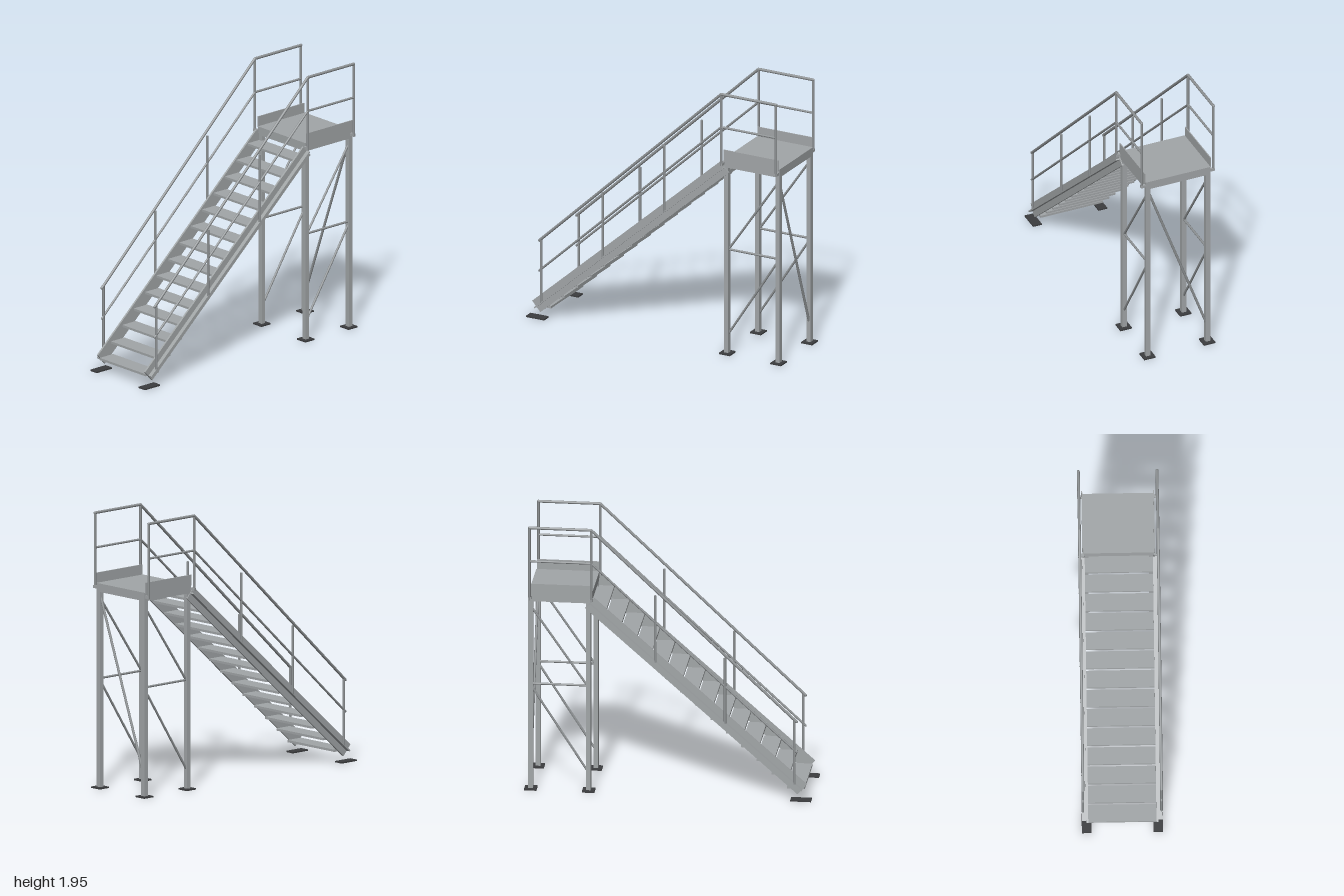
import * as THREE from 'three';

const steel = new THREE.MeshStandardMaterial({ color: 0xa2a6a8 });
steel.name = 'galvanised steel';
const tubeSteel = new THREE.MeshStandardMaterial({ color: 0x8e9294 });
tubeSteel.name = 'tube steel';
const darkSteel = new THREE.MeshStandardMaterial({ color: 0x3c3d3f });
darkSteel.name = 'dark footing';

export function createModel() {
  const model = new THREE.Group();
  model.name = 'accessStair';

  const add = (name, geometry, material) => {
    const mesh = new THREE.Mesh(geometry, material);
    mesh.name = name;
    model.add(mesh);
    return mesh;
  };

  // Box given by its min and max on each axis
  const box = (name, x0, x1, y0, y1, z0, z1, material = steel) => {
    const mesh = add(name, new THREE.BoxGeometry(x1 - x0, y1 - y0, z1 - z0), material);
    mesh.position.set((x0 + x1) / 2, (y0 + y1) / 2, (z0 + z1) / 2);
    return mesh;
  };

  // Round bar between two points
  const bar = (name, a, b, radius, material = tubeSteel) => {
    const from = new THREE.Vector3(...a), to = new THREE.Vector3(...b);
    const dir = to.clone().sub(from);
    const mesh = add(name, new THREE.CylinderGeometry(radius, radius, dir.length(), 12), material);
    mesh.position.copy(from).add(to).multiplyScalar(0.5);
    mesh.quaternion.setFromUnitVectors(new THREE.Vector3(0, 1, 0), dir.normalize());
    return mesh;
  };
  const joint = (name, x, y, z, radius) => {
    add(name, new THREE.SphereGeometry(radius, 12, 8), tubeSteel).position.set(x, y, z);
  };

  // Stair centre line
  const low = new THREE.Vector2(-0.936, 0.08), high = new THREE.Vector2(0.543, 1.389);
  const run = high.clone().sub(low);
  const stairY = (x) => low.y + (x - low.x) * run.y / run.x;

  // Treads
  for (let i = 0; i < 14; i++) {
    const x = -0.953 + i * 0.1062, y = 0.08 + i * 0.0963;
    box('tread', x, x + 0.125, y, y + 0.016, -0.237, 0.237);
  }

  // Landing deck with a perimeter frame
  box('landingDeck', 0.533, 0.972, 1.434, 1.446, -0.245, 0.245);
  box('landingEndBeam', 0.533, 0.545, 1.386, 1.434, -0.245, 0.245);
  box('landingEndBeam', 0.96, 0.972, 1.386, 1.434, -0.245, 0.245);

  const legXs = [0.553, 0.956], legZ = 0.226, railZ = 0.272;

  for (const s of [-1, 1]) {
    const sideBox = (name, x0, x1, y0, y1, z0, z1, material) =>
      box(name, x0, x1, y0, y1, Math.min(s * z0, s * z1), Math.max(s * z0, s * z1), material);

    // Stringer: upright web with an outward fin carrying the posts
    for (const [name, h, z0, z1] of [['stringerWeb', 0.098, 0.236, 0.25], ['stringerFin', 0.01, 0.25, 0.28]]) {
      const part = sideBox(name, -run.length() / 2, run.length() / 2, -h / 2, h / 2, z0, z1);
      part.position.x = (low.x + high.x) / 2;
      part.position.y = (low.y + high.y) / 2;
      part.rotation.z = run.angle();
    }
    sideBox('stairFootPlate', -1, -0.857, 0, 0.01, 0.215, 0.281, darkSteel);

    // Landing side beam and toe board
    sideBox('landingSideBeam', 0.545, 0.96, 1.386, 1.434, 0.233, 0.245);
    sideBox('toeBoard', 0.537, 0.967, 1.44, 1.517, 0.245, 0.252);

    // Legs and base plates
    for (const x of legXs) {
      sideBox('leg', x - 0.016, x + 0.016, 0.01, 1.386, legZ - 0.017, legZ + 0.017);
      sideBox('basePlate', x - 0.043, x + 0.043, 0, 0.01, legZ - 0.043, legZ + 0.043, darkSteel);
    }

    // Side bracing
    const z = s * legZ;
    bar('horizontalBrace', [0.553, 0.775, z], [0.956, 0.775, z], 0.008);
    bar('diagonalBrace', [0.56, 0.77, z], [0.956, 1.345, z], 0.008);
    bar('diagonalBrace', [0.56, 0.145, z], [0.956, 0.762, z], 0.008);

    // Handrail and mid rail
    const rz = s * railZ;
    for (const [name, y0, y1, r] of [['handrail', 0.585, 1.935, 0.01], ['midRail', 0.362, 1.69, 0.008]]) {
      bar(name, [-0.9, y0, rz], [0.53, y1, rz], r);
      bar(name, [0.53, y1, rz], [0.96, y1, rz], r);
      for (const [x, y] of [[-0.9, y0], [0.53, y1], [0.96, y1]]) joint(name + 'Joint', x, y, rz, r);
    }

    // Stair posts
    for (const [x, top] of [[-0.885, 0.595], [-0.402, 1.035], [0.083, 1.473]])
      bar('stairPost', [x, stairY(x), rz], [x, top, rz], 0.009);

    // Landing posts with clips to the frame
    for (const x of [0.53, 0.96]) {
      bar('landingPost', [x, 1.405, rz], [x, 1.935, rz], 0.009);
      sideBox('postClip', x - 0.01, x + 0.01, 1.405, 1.425, 0.24, 0.28);
    }
  }

  // Diagonal across the outer pair of legs
  bar('crossBrace', [0.956, 1.345, legZ - 0.01], [0.956, 0.165, -legZ + 0.01], 0.009);

  return model;
}
